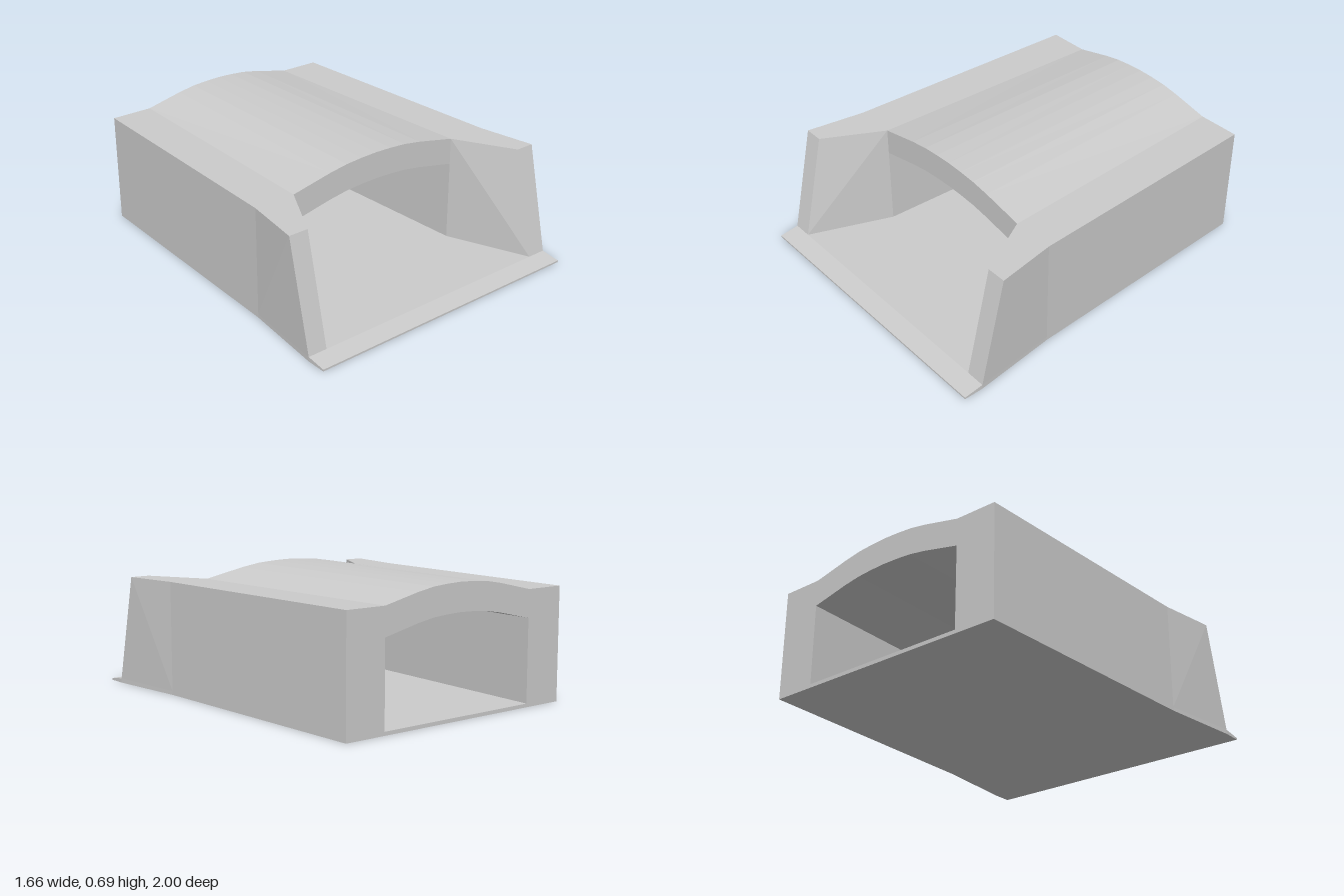
import * as THREE from 'three';

const material = new THREE.MeshStandardMaterial({ color: 0xcccccc, flatShading: true });

// Quads joining two point rows of equal length
function strip(a, b) {
  return a.slice(1).map((p, i) => [a[i], p, b[i + 1], b[i]]);
}

// Mesh from quads of the +x half, mirrored to -x
function mirroredMesh(name, quads) {
  const pos = [];
  const tri = (a, b, c) => {
    const [A, B, C] = [a, b, c].map((p) => new THREE.Vector3(...p));
    const area = B.clone().sub(A).cross(C.clone().sub(A)).length();
    if (area < 1e-7) return;
    pos.push(...a, ...b, ...c);
    for (const p of [a, c, b]) pos.push(-p[0], p[1], p[2]);
  };
  for (const [a, b, c, d] of quads) {
    tri(a, b, c);
    tri(a, c, d);
  }
  const geometry = new THREE.BufferGeometry();
  geometry.setAttribute('position', new THREE.Float32BufferAttribute(pos, 3));
  geometry.computeVertexNormals();
  const mesh = new THREE.Mesh(geometry, material);
  mesh.name = name;
  return mesh;
}

const WALL_TOP = 0.62, ROOF_THICK = 0.15, FLOOR = 0.02, SILL = 0.025;
const ARCH = [[0, 0.695], [0.1, 0.692], [0.2, 0.685], [0.31, 0.668], [0.545, WALL_TOP]];

// Outer and inner outlines of the right half of the tunnel at one depth
function section(z, inner, outer) {
  const arch = (drop) => ARCH.map(([x, y]) => [x * inner / 0.545, y - drop, z]);
  const top = arch(0), under = arch(ROOF_THICK);
  return {
    top, under,
    outside: [...top, [outer, WALL_TOP, z], [outer, 0, z], [0, 0, z]],
    inside: [...under, under[under.length - 1], [inner, FLOOR, z], [0, FLOOR, z]],
  };
}

export function createModel() {
  const group = new THREE.Group();
  const front = section(0.42, 0.545, 0.78);
  const back = section(-1, 0.49, 0.725);

  // Arched tunnel: outer shell, inner lining, rear rim and front roof edge
  group.add(mirroredMesh('archedTunnel', [
    ...strip(front.outside, back.outside),
    ...strip([...front.inside].reverse(), [...back.inside].reverse()),
    ...strip(back.outside, back.inside),
    ...strip(front.under, front.top),
  ]));

  // Flared wing walls with the floor between them
  const zLow = 0.89, zHigh = 0.75, wIn = 0.72, wOut = 0.83;
  const wingFront = [
    [0, SILL, zLow], [wIn, SILL, zLow], [wIn, WALL_TOP, zHigh], [wOut, WALL_TOP, zHigh],
    [wOut, SILL, zLow], [wOut, 0, zLow], [0, 0, zLow],
  ];
  const wingBack = [
    [0, FLOOR], [0.545, FLOOR], [0.545, WALL_TOP], [0.78, WALL_TOP],
    [0.78, FLOOR], [0.78, 0], [0, 0],
  ].map(([x, y]) => [x, y, 0.42]);
  group.add(mirroredMesh('flaredWingWalls', [
    ...strip(wingFront, wingBack),
    [wingFront[1], wingFront[4], wingFront[3], wingFront[2]], // sloping wall end
  ]));

  // Thin sloping lip ahead of the walls
  const edge = (h, z) => [[0, h, z], [wOut, h, z], [wOut, 0, z], [0, 0, z]];
  const tip = edge(0.01, 1);
  group.add(mirroredMesh('entranceLip', [
    ...strip(tip, edge(SILL, zLow)),
    [tip[3], tip[2], tip[1], tip[0]],
  ]));
  return group;
}
